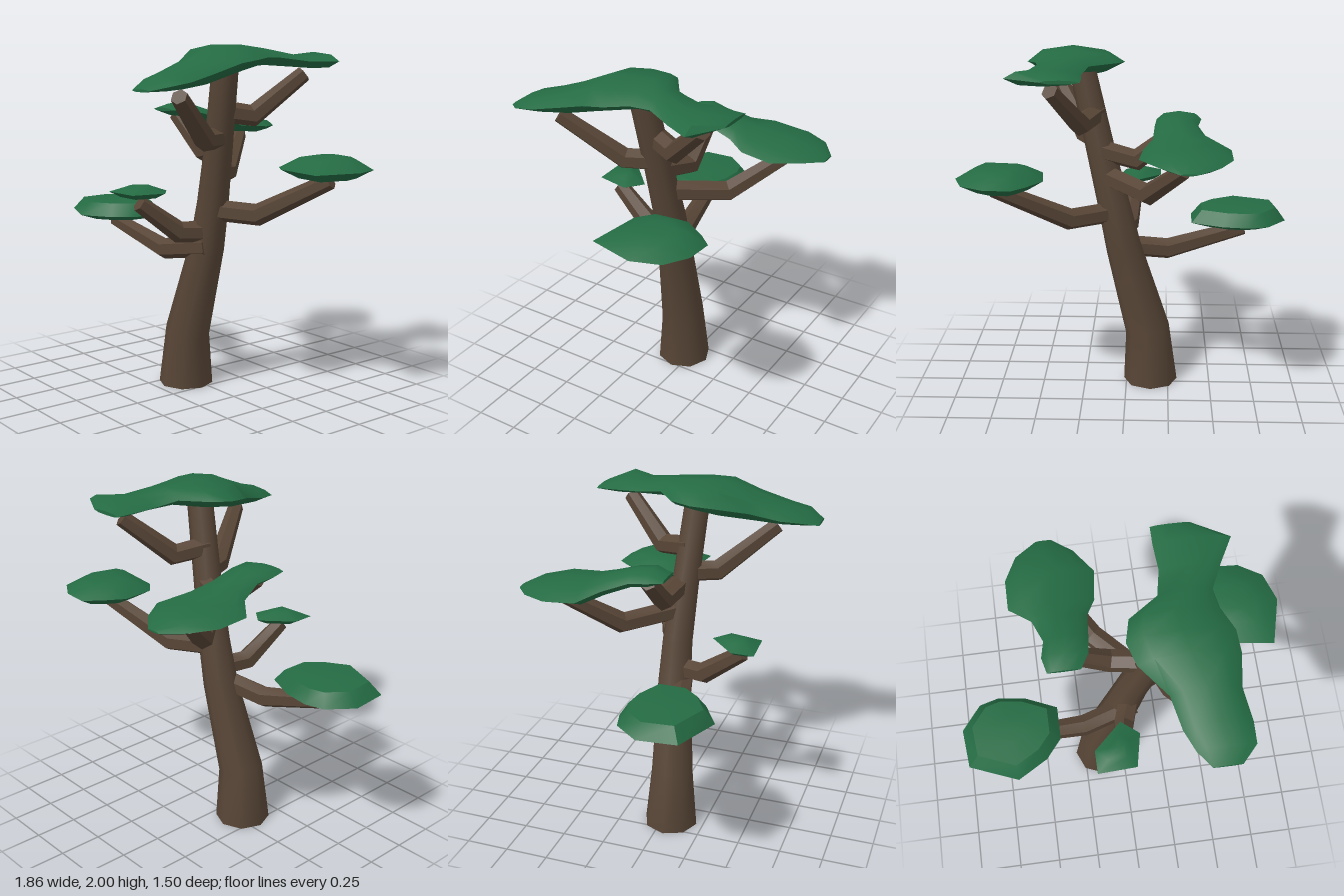
import * as THREE from 'three';
import { toCreasedNormals } from 'three/addons/utils/BufferGeometryUtils.js';

const V = (x, y, z) => new THREE.Vector3(x, y, z);

// Skin a list of equal-length rings, closing both ends with a fan.
function loft(rings, crease) {
  const n = rings[0].length;
  const pts = rings.flat();
  const index = [];
  for (let r = 0; r < rings.length - 1; r++) {
    for (let i = 0; i < n; i++) {
      const a = r * n + i, b = r * n + (i + 1) % n;
      index.push(a, b, a + n, b, b + n, a + n);
    }
  }
  for (const [r, flip] of [[0, true], [rings.length - 1, false]]) {
    const centre = rings[r].reduce((s, p) => s.add(p), V(0, 0, 0)).divideScalar(n);
    const c = pts.push(centre) - 1;
    for (let i = 0; i < n; i++) {
      const a = r * n + i, b = r * n + (i + 1) % n;
      index.push(...(flip ? [b, a, c] : [a, b, c]));
    }
  }
  // Turn the faces outward if the enclosed volume is negative.
  let volume = 0;
  for (let i = 0; i < index.length; i += 3) {
    const [a, b, c] = [0, 1, 2].map(k => pts[index[i + k]]);
    volume += a.dot(b.clone().cross(c));
  }
  if (volume < 0) index.reverse();
  const geo = new THREE.BufferGeometry().setFromPoints(pts);
  geo.setIndex(index);
  return toCreasedNormals(geo, crease);
}

// Tapered limb with mitred joints along a bent path.
function limb(path, radii, sides = 6) {
  const pts = path.map(p => V(...p));
  const rings = pts.map((p, i) => {
    const din = pts[i].clone().sub(pts[Math.max(i - 1, 0)]).normalize();
    const dout = pts[Math.min(i + 1, pts.length - 1)].clone().sub(p).normalize();
    const t = din.add(dout).normalize();
    const side = t.clone().cross(V(0, 1, 0)).normalize();
    const up = side.clone().cross(t);
    return Array.from({ length: sides }, (_, k) => {
      const a = (k + 0.5) / sides * Math.PI * 2;
      return p.clone().addScaledVector(side, Math.cos(a) * radii[i])
        .addScaledVector(up, Math.sin(a) * radii[i]);
    });
  });
  return loft(rings, 0.5);
}

// Round leaf pad: outline in x,z with a flat top and bottom ring inside it.
function roundPad(outline, bottom, rim, top, topScale) {
  const cx = outline.reduce((s, p) => s + p[0], 0) / outline.length;
  const cz = outline.reduce((s, p) => s + p[1], 0) / outline.length;
  const ring = (k, y) => outline.map(([x, z]) => V(cx + (x - cx) * k, y, cz + (z - cz) * k));
  return loft([ring(0.62, bottom), ring(1, rim), ring(topScale, top - 0.012), ring(0.3, top)], 0.75);
}

// Long leaf pad: sections [z, xMin, xMax, yBottom, yTop] along z.
function longPad(sections) {
  const profile = [[-1, 0.45], [-0.68, 0.85], [0, 1], [0.68, 0.85], [1, 0.45], [0.62, 0.08], [0, 0], [-0.62, 0.08]];
  return loft(sections.map(([z, x0, x1, y0, y1]) => profile.map(([u, v]) =>
    V((x0 + x1) / 2 + u * (x1 - x0) / 2, y0 + v * (y1 - y0), z))), 0.85);
}

export function createModel() {
  const bark = new THREE.MeshStandardMaterial({ name: 'bark brown', color: 0x574536 });
  const leaf = new THREE.MeshStandardMaterial({ name: 'leaf green', color: 0x246b43 });
  const model = new THREE.Group();
  model.name = 'tree';
  const add = (name, geo, mat) => {
    const mesh = new THREE.Mesh(geo, mat);
    mesh.name = name;
    model.add(mesh);
  };

  // Leaning trunk: x, y, z, radius at each level
  const levels = [
    [-0.145, 0, 0.05, 0.16], [-0.125, 0.33, 0.05, 0.128], [0.015, 0.85, 0.015, 0.1],
    [0.07, 1.1, 0.015, 0.09], [0.145, 1.42, 0.035, 0.08], [0.25, 1.89, 0.07, 0.073],
  ];
  add('trunk', loft(levels.map(([x, y, z, r]) => Array.from({ length: 8 }, (_, i) => {
    const a = i / 8 * Math.PI * 2;
    return V(x + Math.cos(a) * r, y - (y > 0 ? Math.cos(a) * r * 0.25 : 0), z + Math.sin(a) * r);
  })), 0.9), bark);

  // Branches: root, elbow, tip
  const branches = {
    lowerRightBranch: [[0.07, 0.86, 0.05], [-0.24, 0.81, 0.13], [-0.69, 0.93, 0.18]],
    frontBranch: [[0.04, 0.94, 0.04], [-0.01, 0.95, 0.2], [-0.05, 1.13, 0.44]],
    lowerLeftBranch: [[0.06, 1.07, 0.02], [0.32, 1.06, -0.11], [0.72, 1.28, -0.28]],
    backRightBranch: [[0.09, 1.28, 0.0], [-0.13, 1.25, -0.25], [-0.32, 1.45, -0.5]],
    upperRightBranch: [[0.18, 1.44, 0.03], [-0.06, 1.39, -0.03], [-0.32, 1.59, -0.02]],
    upperFrontBranch: [[0.15, 1.49, 0.0], [0.24, 1.49, 0.2], [0.41, 1.74, 0.5]],
    upperBackBranch: [[0.17, 1.64, 0.06], [0.25, 1.61, -0.13], [0.39, 1.84, -0.38]],
  };
  for (const [name, path] of Object.entries(branches)) {
    add(name, limb(path, [0.062, 0.063, 0.046]), bark);
  }

  // Round leaf pads
  add('lowerRightLeaves', roundPad([
    [-0.82, -0.01], [-0.71, -0.04], [-0.56, -0.02], [-0.38, 0.06], [-0.38, 0.25],
    [-0.47, 0.36], [-0.64, 0.46], [-0.91, 0.35], [-0.93, 0.13],
  ], 0.955, 0.99, 1.075, 0.78), leaf);
  add('lowerLeftLeaves', roundPad([
    [0.59, -0.54], [0.74, -0.53], [0.87, -0.45], [0.925, -0.29], [0.86, -0.03],
    [0.55, -0.07], [0.46, -0.14], [0.44, -0.33], [0.52, -0.46],
  ], 1.29, 1.34, 1.41, 0.58), leaf);
  add('frontLeaves', roundPad([
    [-0.04, 0.26], [0.06, 0.34], [0.02, 0.53], [-0.2, 0.54], [-0.2, 0.41],
  ], 1.16, 1.19, 1.23, 0.5), leaf);

  // Long leaf pads, each spanning several branch tips
  add('backRightLeaves', longPad([
    [-0.75, -0.38, -0.29, 1.485, 1.495], [-0.66, -0.5, -0.18, 1.475, 1.54],
    [-0.52, -0.57, -0.08, 1.465, 1.565], [-0.34, -0.57, -0.1, 1.475, 1.58],
    [-0.24, -0.45, -0.15, 1.51, 1.61], [-0.1, -0.4, -0.16, 1.56, 1.65],
    [0, -0.42, -0.17, 1.58, 1.665], [0.09, -0.4, -0.22, 1.615, 1.635],
  ]), leaf);
  add('crownLeaves', longPad([
    [-0.53, 0.22, 0.43, 1.9, 1.92], [-0.42, 0.22, 0.625, 1.87, 1.96],
    [-0.28, 0.23, 0.55, 1.88, 1.945], [-0.13, 0.2, 0.48, 1.89, 1.98],
    [-0.02, 0.04, 0.5, 1.88, 2], [0.1, 0.01, 0.56, 1.86, 2],
    [0.22, 0.05, 0.57, 1.83, 2], [0.38, 0.19, 0.55, 1.79, 1.935],
    [0.55, 0.23, 0.58, 1.775, 1.87], [0.66, 0.28, 0.58, 1.77, 1.84],
    [0.745, 0.35, 0.5, 1.77, 1.785],
  ]), leaf);

  return model;
}
